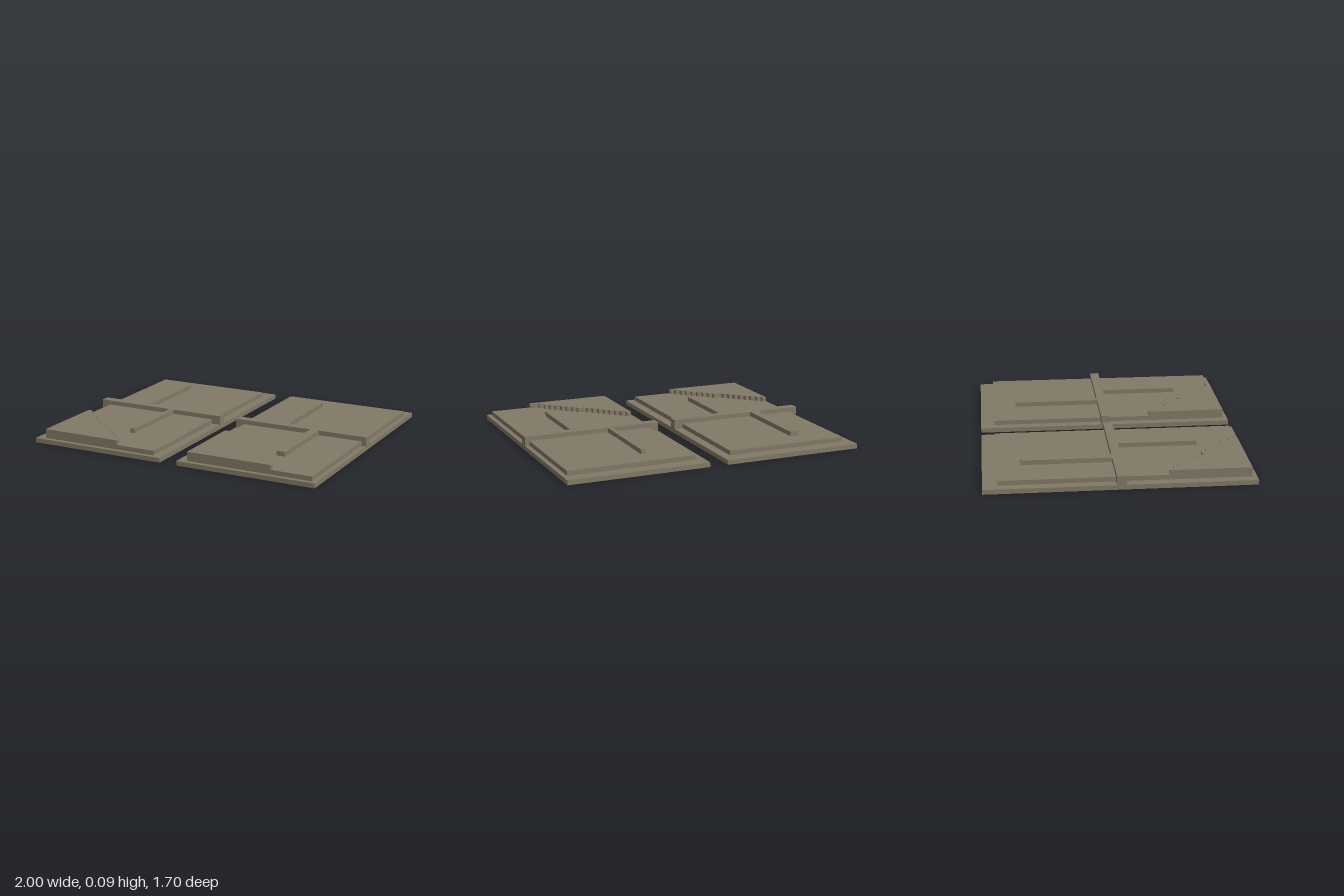
import * as THREE from 'three';

// Everything sits on a square grid; U is one cell.
const U = 2 / 66;

export function createModel() {
  const model = new THREE.Group();
  model.name = 'steppedPlates';
  const stone = new THREE.MeshStandardMaterial({ color: 0x827966 });
  stone.name = 'stone';

  // Box between two corners given in cells
  function block(parent, name, x0, x1, y0, y1, z0, z1) {
    const geo = new THREE.BoxGeometry((x1 - x0) * U, (y1 - y0) * U, (z1 - z0) * U);
    const mesh = new THREE.Mesh(geo, stone);
    mesh.position.set((x0 + x1) * U / 2, (y0 + y1) * U / 2, (z0 + z1) * U / 2);
    mesh.name = name;
    parent.add(mesh);
  }

  // Raised corner with a stair-stepped diagonal edge
  function steppedCorner(parent, x0, columns) {
    const front = 27;
    const shape = new THREE.Shape();
    shape.moveTo(x0 * U, -front * U);
    shape.lineTo((x0 + columns) * U, -front * U);
    for (let k = columns - 1; k >= 0; k--) {
      const z = 10 + k - Math.floor(k / 9);
      const prev = k === columns - 1 ? front : 11 + k - Math.floor((k + 1) / 9);
      if (z !== prev) shape.lineTo((x0 + k + 1) * U, -z * U);
      const next = 9 + k - Math.floor((k - 1) / 9);
      if (k === 0 || next !== z) shape.lineTo((x0 + k) * U, -z * U);
    }
    shape.closePath();
    const geo = new THREE.ExtrudeGeometry(shape, { depth: U, bevelEnabled: false });
    geo.rotateX(-Math.PI / 2);
    const mesh = new THREE.Mesh(geo, stone);
    mesh.position.y = 2 * U;
    mesh.name = 'steppedCorner';
    parent.add(mesh);
  }

  // The two plates differ in their bar positions and margins
  const plates = [
    { name: 'rightPlate', base: [-33, -2], tier: [-31, -4], backBar: [-23, -21], frontBar: [-15, -14], columns: 18 },
    { name: 'leftPlate', base: [2, 33], tier: [4, 32], backBar: [13, 14], frontBar: [20, 22], columns: 19 },
  ];
  for (const p of plates) {
    const plate = new THREE.Group();
    plate.name = p.name;
    block(plate, 'baseSlab', ...p.base, 0, 1, -28, 28);
    block(plate, 'backFloor', ...p.tier, 1, 2, -25, -1);
    block(plate, 'frontFloor', ...p.tier, 1, 2, 1, 27);
    block(plate, 'crossWall', ...p.base, 1, 3, -1, 1);
    block(plate, 'backBar', ...p.backBar, 2, 3, -20, -1);
    block(plate, 'frontBar', ...p.frontBar, 2, 3, 1, 18);
    steppedCorner(plate, p.tier[0], p.columns);
    model.add(plate);
  }
  return model;
}
